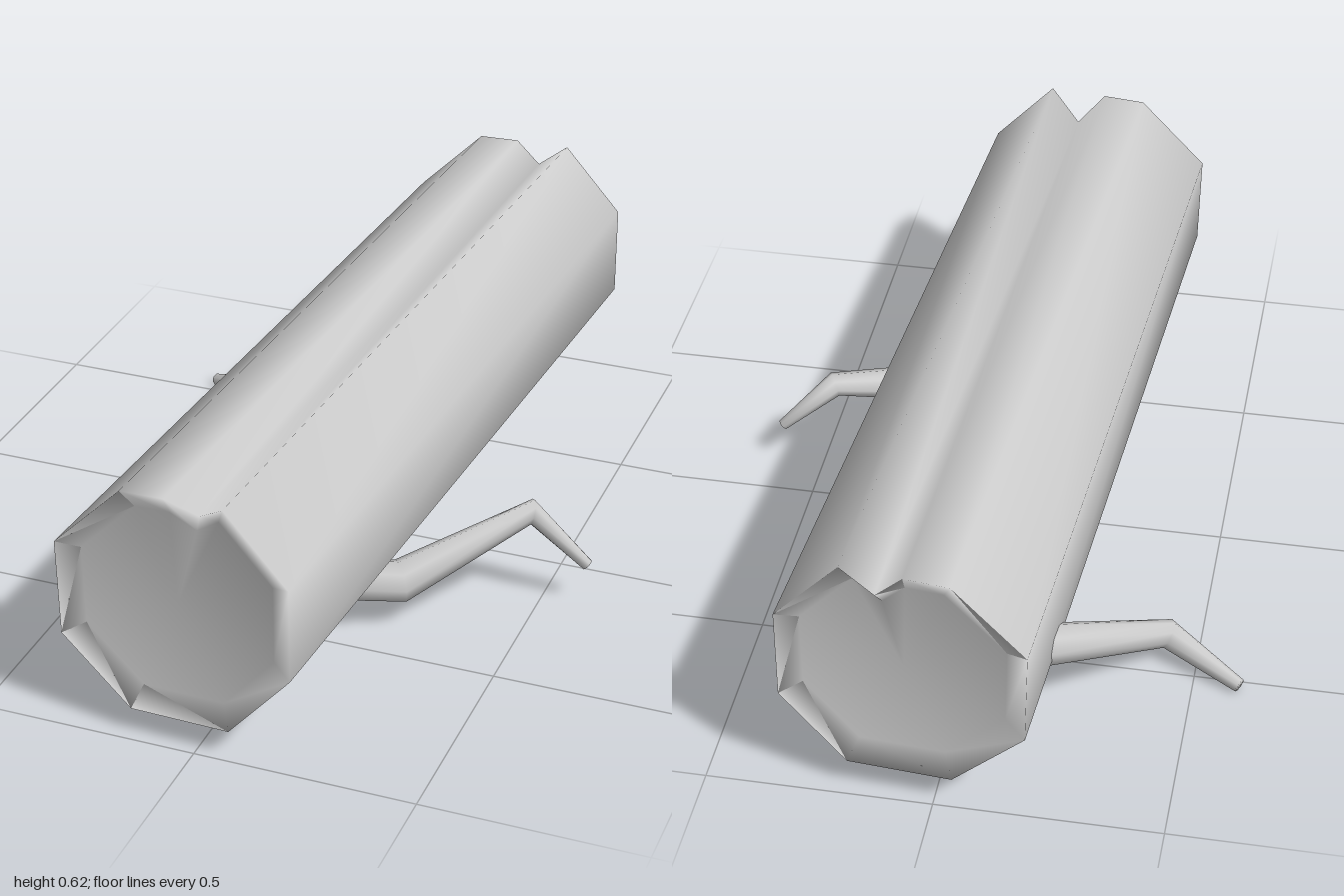
import * as THREE from 'three';

const material = new THREE.MeshStandardMaterial({ color: 0xcccccc });

// Smooth closed skin over rings of points (counter-clockwise about the direction of travel)
function loft(name, rings, startCentre, endCentre) {
  const n = rings[0].length;
  const points = [...rings.flat(), startCentre, endCentre];
  const start = points.length - 2, end = points.length - 1;
  const last = (rings.length - 1) * n;
  const index = [];
  for (let j = 0; j < n; j++) {
    const k = (j + 1) % n;
    for (let i = 0; i < last; i += n) {
      index.push(i + j, i + k, i + n + j, i + k, i + n + k, i + n + j);
    }
    index.push(start, k, j, end, last + j, last + k);
  }
  const geometry = new THREE.BufferGeometry().setFromPoints(points);
  geometry.setIndex(index);
  geometry.computeVertexNormals();
  const mesh = new THREE.Mesh(geometry, material);
  mesh.name = name;
  return mesh;
}

// Octagonal trunk with a V-shaped groove along the top and slightly dished ends
function createTrunk() {
  const notch = 3;
  const profile = [
    [0.27, -0.1], [0.27, 0.12], [0.125, 0.275], [0.05, 0.215], [-0.01, 0.27],
    [-0.11, 0.265], [-0.27, 0.105], [-0.265, -0.12], [-0.105, -0.27], [0.125, -0.265],
  ];
  const back = new THREE.Vector3(0.065, 0.345, -0.985);
  const front = new THREE.Vector3(-0.05, 0.335, 0.98);
  const ring = (centre, scale, dz, notchDz = 0) => profile.map(([x, y], i) =>
    new THREE.Vector3(x * scale, y * scale, x * scale * 0.055 + dz + (i === notch ? notchDz : 0)).add(centre));
  return loft('trunk', [
    ring(back, 0.82, 0.03),
    ring(back, 1, 0),
    ring(front, 1, 0, -0.05),
    ring(front, 0.82, -0.03, -0.025),
  ], back.clone().setZ(back.z + 0.035), front.clone().setZ(front.z - 0.035));
}

// Bent, tapering branch; each stop is [x, y, z, radius]
function createBranch(name, stops, sides = 8) {
  const path = stops.map(([x, y, z]) => new THREE.Vector3(x, y, z));
  const rings = path.map((p, i) => {
    const before = path[Math.max(i - 1, 0)], after = path[Math.min(i + 1, path.length - 1)];
    const tangent = new THREE.Vector3();
    if (i > 0) tangent.add(p.clone().sub(before).normalize());
    if (i < path.length - 1) tangent.add(after.clone().sub(p).normalize());
    tangent.normalize();
    const u = new THREE.Vector3(0, 1, 0).cross(tangent).normalize();
    const v = tangent.clone().cross(u);
    return Array.from({ length: sides }, (_, j) => {
      const a = (j / sides) * Math.PI * 2;
      return p.clone()
        .addScaledVector(u, Math.cos(a) * stops[i][3])
        .addScaledVector(v, Math.sin(a) * stops[i][3]);
    });
  });
  return loft(name, rings, path[0], path[path.length - 1]);
}

export function createModel() {
  const log = new THREE.Group();
  log.name = 'log';
  log.add(createTrunk());
  log.add(createBranch('leftBranch', [
    [0.14, 0.13, 0.42, 0.05], [0.23, 0.11, 0.36, 0.05],
    [0.47, 0.225, 0.15, 0.03], [0.6, 0.1, 0.13, 0.014],
  ]));
  log.add(createBranch('rightBranch', [
    [-0.13, 0.28, -0.78, 0.052], [-0.43, 0.07, -0.44, 0.034], [-0.605, 0.02, -0.53, 0.016],
  ]));
  return log;
}
